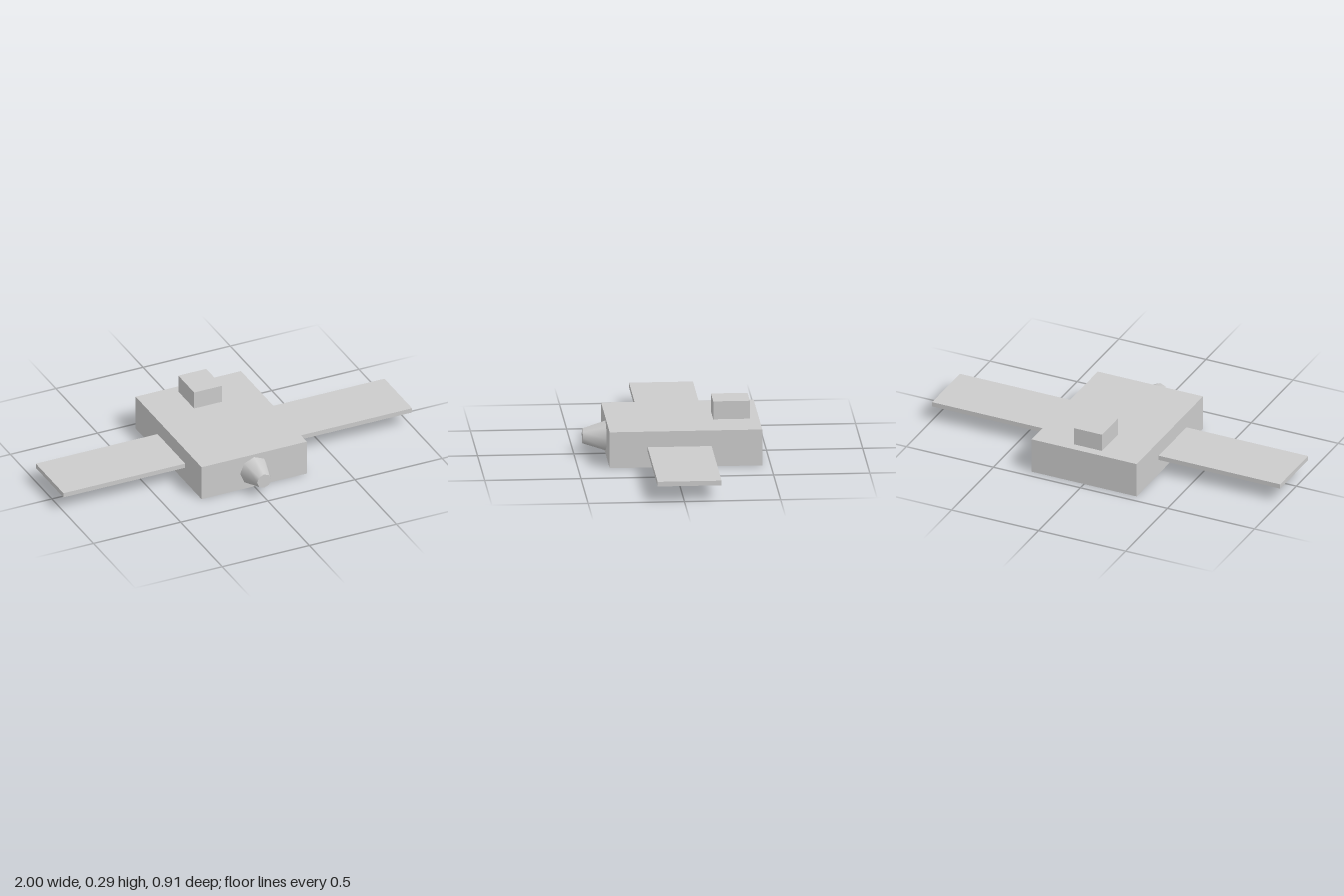
import * as THREE from 'three';

const material = new THREE.MeshStandardMaterial({ color: 0xcccccc });

export function createModel() {
  const model = new THREE.Group();
  model.name = 'satellite';

  const add = (name, geometry, x, y, z) => {
    const mesh = new THREE.Mesh(geometry, material);
    mesh.name = name;
    mesh.position.set(x, y, z);
    model.add(mesh);
  };

  const midY = 0.096;

  // Main body, front face at z = 0.336
  add('body', new THREE.BoxGeometry(0.604, 0.192, 0.792), 0, midY, -0.06);

  // Small equipment box on the rear of the roof
  add('roofBox', new THREE.BoxGeometry(0.16, 0.096, 0.19), 0, 0.24, -0.313);

  // Eight-sided tapered nozzle, narrow end forward
  const nozzle = new THREE.CylinderGeometry(0.04, 0.08, 0.12, 8).rotateX(Math.PI / 2);
  add('nozzle', nozzle, 0, midY, 0.396);

  // Thin side panels
  for (const side of [1, -1]) {
    add(side > 0 ? 'leftPanel' : 'rightPanel',
      new THREE.BoxGeometry(0.698, 0.025, 0.332), side * 0.651, midY, -0.027);
  }

  return model;
}
